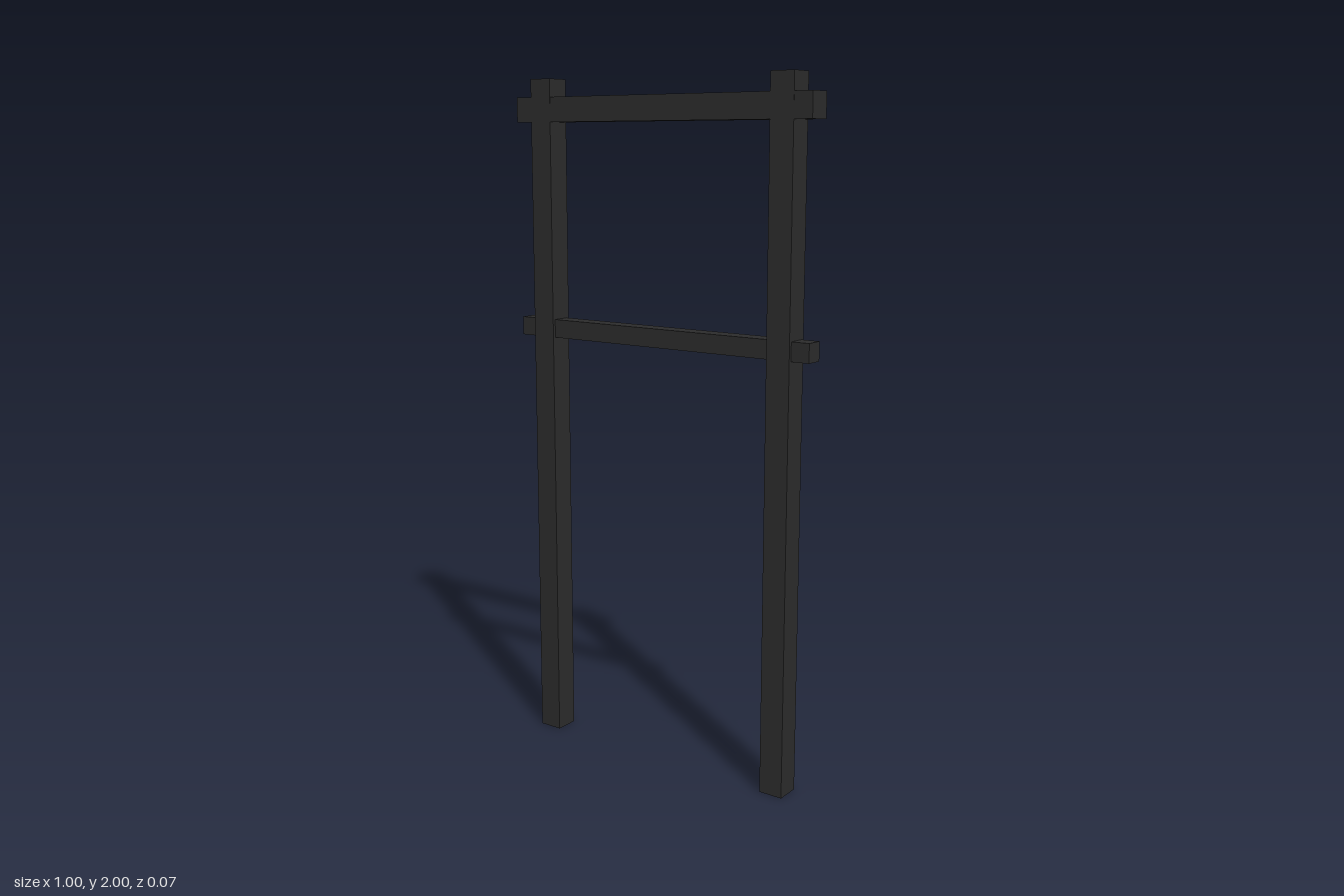
import * as THREE from 'three';

export function createModel() {
  const group = new THREE.Group();
  const material = new THREE.MeshStandardMaterial({ color: 0x2b2b2b });

  function addBar(name, width, height, depth, x, y) {
    const mesh = new THREE.Mesh(new THREE.BoxGeometry(width, height, depth), material);
    mesh.name = name;
    mesh.position.set(x, y, 0);
    group.add(mesh);
  }

  // Two square uprights
  for (const [name, side] of [['leftPost', 1], ['rightPost', -1]]) {
    addBar(name, 0.072, 2, 0.072, side * 0.409, 1);
  }

  // Crossbars running through both posts; the lower one is slimmer
  addBar('topBeam', 1, 0.071, 0.071, 0, 1.913);
  addBar('lowerRail', 1, 0.054, 0.054, 0, 1.275);

  return group;
}
